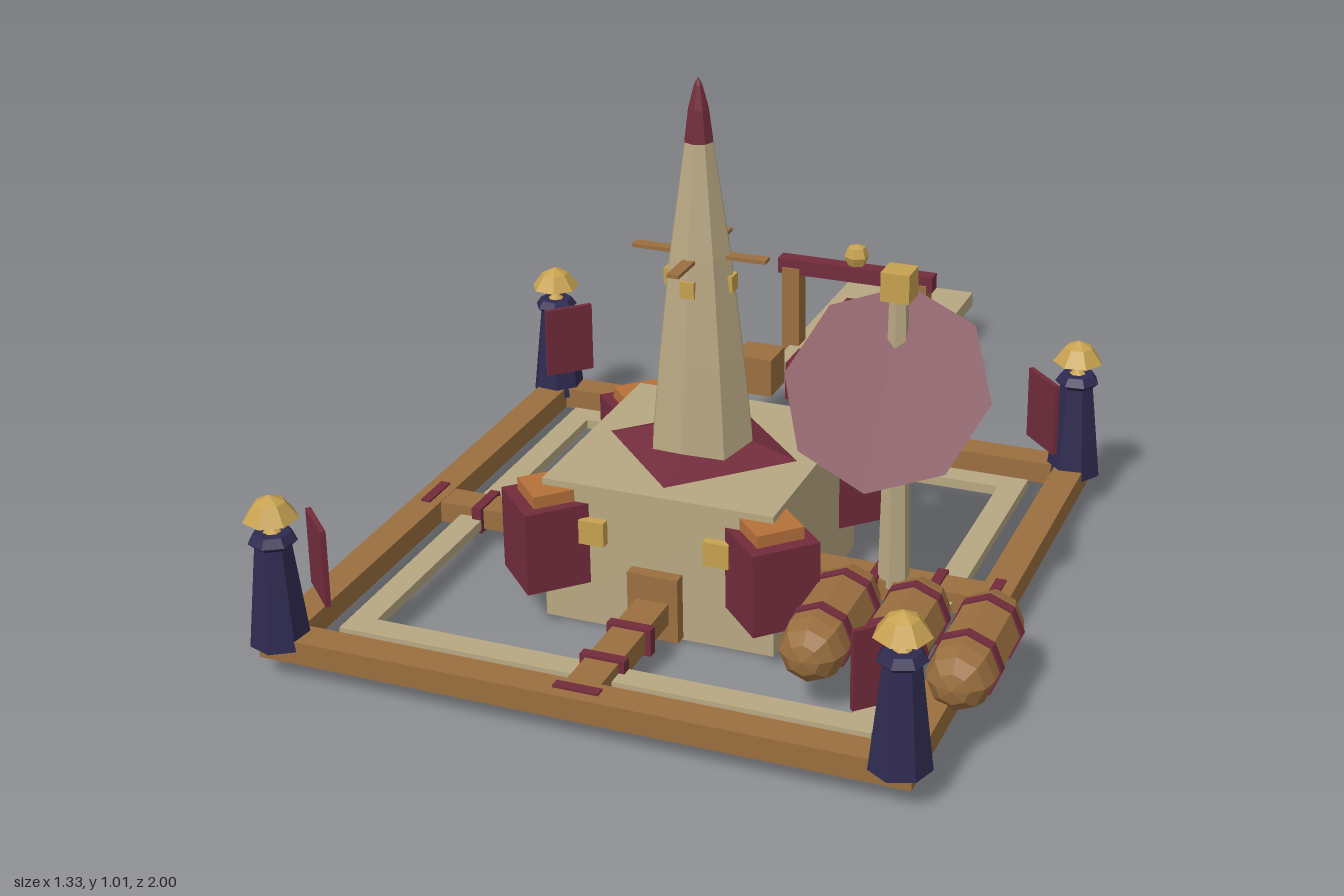
import * as THREE from 'three';

const CX = -0.03, CZ = 0.36;

export function createModel() {
  const model = new THREE.Group();
  model.name = 'templeCompound';

  const paint = (name, color) => {
    const m = new THREE.MeshStandardMaterial({ color });
    m.name = name;
    return m;
  };
  const cream = paint('cream stone', 0xb8a882);
  const maroon = paint('maroon cloth', 0x722c3c);
  const brown = paint('brown wood', 0x9a6f3f);
  const gold = paint('gold', 0xc6a150);
  const navy = paint('navy robe', 0x2f2a50);
  const copper = paint('copper', 0xb5713a);

  // Faceted mesh
  const add = (name, geometry, material, x = 0, y = 0, z = 0, parent = model) => {
    const geo = geometry.index ? geometry.toNonIndexed() : geometry;
    geo.computeVertexNormals();
    const mesh = new THREE.Mesh(geo, material);
    mesh.name = name;
    mesh.position.set(x, y, z);
    parent.add(mesh);
    return mesh;
  };
  // Box given by its limits on each axis
  const box = (name, mat, x0, x1, y0, y1, z0, z1, parent = model) =>
    add(name, new THREE.BoxGeometry(x1 - x0, y1 - y0, z1 - z0), mat,
      (x0 + x1) / 2, (y0 + y1) / 2, (z0 + z1) / 2, parent);
  const lathe = (pts, sides) =>
    new THREE.LatheGeometry(pts.map(([r, y]) => new THREE.Vector2(r, y)), sides);
  const group = (name, x, y, z, turn = 0, parent = model) => {
    const g = new THREE.Group();
    g.name = name;
    g.position.set(x, y, z);
    g.rotation.y = turn;
    parent.add(g);
    return g;
  };

  // Square frames, centred on the hall
  const squareFrame = (name, mat, half, w, y0, y1) => {
    const g = group(name, CX, 0, CZ);
    for (const s of [-1, 1]) {
      const c = s * (half - w / 2);
      box(name + 'Beam', mat, -half, half, y0, y1, c - w / 2, c + w / 2, g);
      box(name + 'Beam', mat, c - w / 2, c + w / 2, y0, y1, -half + w, half - w, g);
    }
  };
  squareFrame('outerFrame', brown, 0.612, 0.06, 0.04, 0.085);
  squareFrame('innerFrame', cream, 0.508, 0.05, 0.045, 0.065);

  // Four banded spokes
  for (let i = 0; i < 4; i++) {
    const g = group('spoke', CX, 0, CZ, i * Math.PI / 2);
    box('spokeBeam', brown, -0.032, 0.032, 0.042, 0.084, 0.2, 0.56, g);
    for (const d of [0.352, 0.468, 0.58])
      box('spokeBand', maroon, -0.043, 0.043, 0.036, 0.089, d - 0.01, d + 0.01, g);
  }

  // Hall with corner buttresses
  box('hall', cream, CX - 0.228, CX + 0.228, 0, 0.285, CZ - 0.228, CZ + 0.228);
  box('door', brown, CX - 0.05, CX + 0.05, 0.005, 0.135, CZ + 0.2, CZ + 0.253);
  for (const s of [-1, 1])
    box('wallLantern', gold, CX + s * 0.123 - 0.025, CX + s * 0.123 + 0.025, 0.173, 0.221, CZ + 0.21, CZ + 0.247);
  for (let i = 0; i < 4; i++) {
    const g = group('buttress', CX, 0, CZ, Math.PI / 4 + i * Math.PI / 2);
    box('buttressBody', maroon, -0.066, 0.066, 0.085, 0.248, 0.24, 0.38, g);
    box('buttressCap', copper, -0.046, 0.046, 0.248, 0.272, 0.24, 0.355, g);
  }

  // Spire
  add('spireSkirt', lathe([[0, 0.284], [0.19, 0.286], [0.085, 0.318], [0, 0.318]], 4), maroon, CX, 0, CZ);
  add('spire', lathe([[0.102, 0.3], [0.084, 0.48], [0.06, 0.68], [0.027, 0.895]], 8), cream, CX, 0, CZ);
  add('spireTip', lathe([[0, 0.894], [0.028, 0.895], [0.02, 0.955], [0.008, 1.0], [0, 1.015]], 8), maroon, CX, 0, CZ);
  for (let i = 0; i < 4; i++) {
    const g = group('spireArm', CX, 0, CZ, i * Math.PI / 2);
    box('arm', brown, -0.012, 0.012, 0.676, 0.683, 0.02, 0.132, g);
    box('spireLantern', gold, -0.014, 0.014, 0.612, 0.644, 0.04, 0.068, g);
  }

  // Tilted dish on its mast
  const dishX = 0.355;
  add('mast', new THREE.CylinderGeometry(0.018, 0.031, 0.58, 6), cream, dishX, 0.36, CZ + 0.005);
  box('mastHead', gold, dishX - 0.027, dishX + 0.027, 0.645, 0.7, CZ - 0.022, CZ + 0.032);
  const dish = add('dish', lathe([[0, -0.078], [0.09, -0.062], [0.155, -0.032], [0.195, 0], [0, 0.001]], 8),
    maroon, dishX, 0.495, 0.43);
  dish.rotation.x = 0.91;

  // Barrels with bands
  for (const x of [0.325, 0.457, 0.592]) {
    const g = group('barrel', x, 0.125, 0.637);
    const parts = [add('barrelBody', lathe([[0, -0.152], [0.03, -0.145], [0.052, -0.125], [0.061, -0.095],
      [0.061, 0.095], [0.052, 0.125], [0.03, 0.145], [0, 0.152]], 8), brown, 0, 0, 0, g)];
    for (const d of [-0.075, 0.055])
      parts.push(add('barrelBand', new THREE.CylinderGeometry(0.065, 0.065, 0.02, 8), maroon, 0, 0, d, g));
    for (const p of parts) p.rotation.x = Math.PI / 2;
  }

  // Corner sentinels, each with a banner on the inner side
  for (let i = 0; i < 4; i++) {
    const g = group('sentinel', CX, 0, CZ, Math.PI / 4 + i * Math.PI / 2);
    const d = 0.583 * Math.SQRT2;
    add('robe', lathe([[0, 0.064], [0.056, 0.065], [0.034, 0.258], [0.045, 0.268], [0.034, 0.284], [0, 0.285]], 7),
      navy, 0, 0, d, g);
    add('collar', new THREE.ConeGeometry(0.037, 0.028, 7), gold, 0, 0.283, d, g);
    add('hat', lathe([[0, 0.311], [0.051, 0.311], [0.028, 0.342], [0, 0.356]], 7), gold, 0, 0, d, g);
    box('banner', maroon, -0.052, 0.052, 0.14, 0.29, d - 0.083, d - 0.073, g);
  }

  // Rear altar platform
  box('platformBeam', brown, CX - 0.018, CX + 0.018, 0.05, 0.082, -1, -0.395);
  box('platform', cream, CX - 0.15, CX + 0.15, 0.082, 0.115, -0.973, -0.43);
  box('altarCloth', maroon, CX - 0.112, CX + 0.112, 0.115, 0.126, -0.812, -0.59);
  const leaf = new THREE.Shape();
  leaf.moveTo(0.078, 0);
  leaf.quadraticCurveTo(0.03, 0.045, -0.02, 0.043);
  leaf.quadraticCurveTo(-0.066, 0.04, -0.066, 0);
  leaf.quadraticCurveTo(-0.066, -0.04, -0.02, -0.043);
  leaf.quadraticCurveTo(0.03, -0.045, 0.078, 0);
  const offering = add('offering', new THREE.ExtrudeGeometry(leaf, { depth: 0.014, bevelEnabled: false, curveSegments: 4 }),
    brown, CX, 0.126, -0.702);
  offering.rotation.x = -Math.PI / 2;

  // Gate over the platform
  for (const s of [-1, 1])
    box('gatePost', brown, CX + s * 0.148 - 0.02, CX + s * 0.148 + 0.02, 0.065, 0.3, -0.568, -0.525);
  box('gateBar', maroon, CX - 0.18, CX + 0.18, 0.285, 0.32, -0.565, -0.53);
  add('gateKnob', lathe([[0, 0], [0.02, 0.005], [0.028, 0.025], [0.02, 0.046], [0, 0.052]], 6), gold, CX, 0.318, -0.547);

  // Stacked crates
  const crates = [[brown, -0.182, 0.09], [maroon, -0.063, 0.09], [brown, 0.063, 0.09], [cream, 0.002, 0.175]];
  for (const [mat, x, y] of crates)
    box('crate', mat, x - 0.043, x + 0.043, y, y + 0.085, -0.382, -0.296);

  return model;
}
